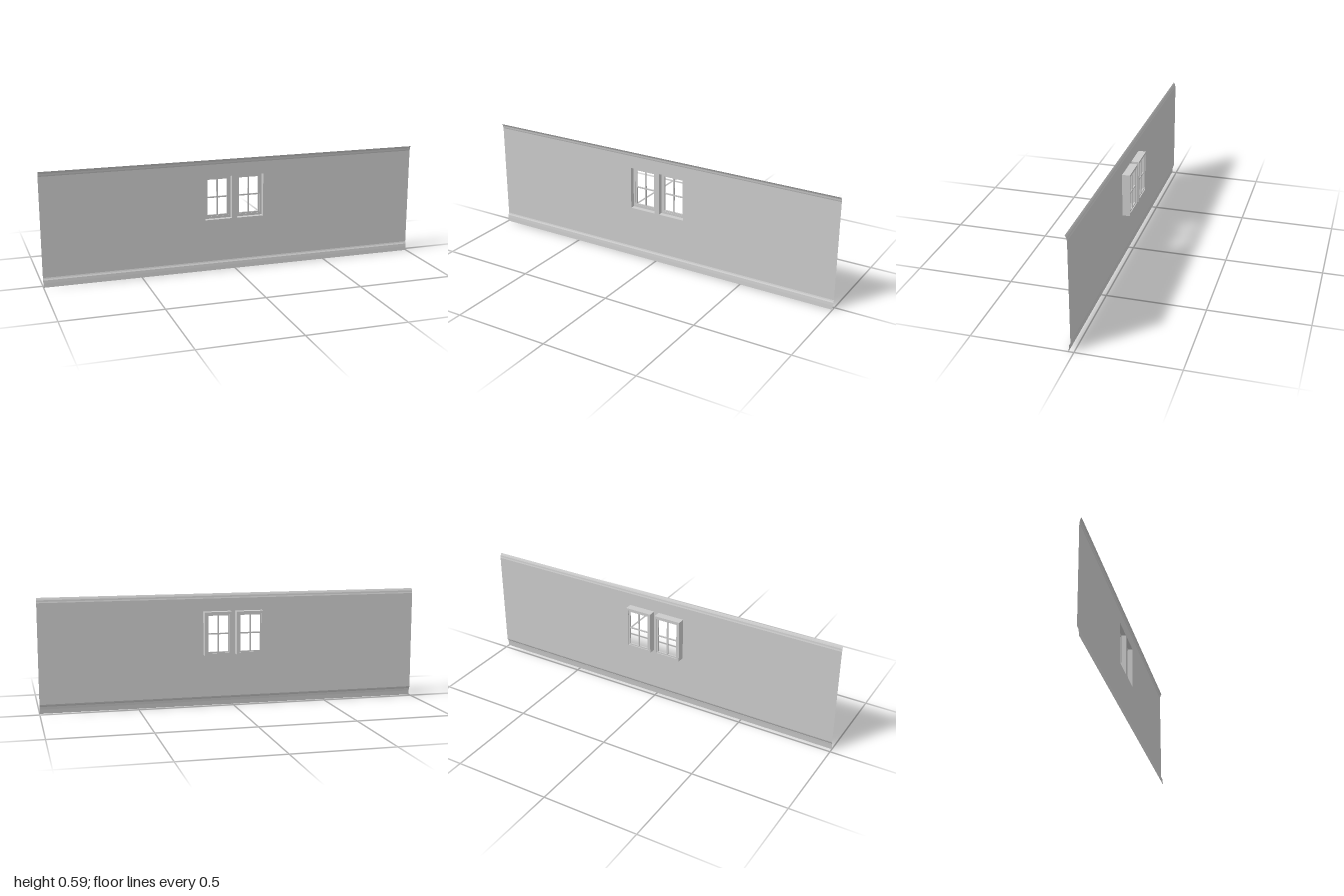
import * as THREE from 'three';

const mat = new THREE.MeshStandardMaterial({ color: 0xcccccc, flatShading: true, side: THREE.DoubleSide });
const WALL_Z = 0.015, BACK_Z = -0.025;
const W = 0.144, H = 0.226, WIN_X = 0.085, WIN_Y = 0.383;

function add(parent, geometry, name, z = 0) {
  const mesh = new THREE.Mesh(geometry, mat);
  mesh.name = name;
  mesh.position.z = z;
  parent.add(mesh);
  return mesh;
}

function rect(target, w, h, cx = 0, cy = 0) {
  const x = w / 2, y = h / 2;
  target.moveTo(cx - x, cy - y);
  target.lineTo(cx + x, cy - y);
  target.lineTo(cx + x, cy + y);
  target.lineTo(cx - x, cy + y);
  target.closePath();
  return target;
}

// Rectangular ring of given border, extruded forward from z = 0
function ring(w, h, border, depth) {
  const shape = rect(new THREE.Shape(), w, h);
  shape.holes.push(rect(new THREE.Path(), w - 2 * border, h - 2 * border));
  return new THREE.ExtrudeGeometry(shape, { depth, bevelEnabled: false });
}

// Open moulding sheet: [y, z] profile, bottom to top, swept along the wall
function moulding(profile) {
  const pos = [], index = [];
  profile.forEach(([y, z], i) => {
    pos.push(-1, y, z, 1, y, z);
    if (i) {
      const a = 2 * i - 2;
      index.push(a, a + 1, a + 3, a, a + 3, a + 2);
    }
  });
  const g = new THREE.BufferGeometry();
  g.setAttribute('position', new THREE.Float32BufferAttribute(pos, 3));
  g.setIndex(index);
  g.computeVertexNormals();
  return g;
}

function makeWindow() {
  const win = new THREE.Group();
  // Thin reveal lining from the wall to the back
  const depth = WALL_Z - BACK_Z, midZ = (WALL_Z + BACK_Z) / 2;
  for (const s of [-1, 1]) {
    const side = add(win, new THREE.PlaneGeometry(depth, H), 'revealSide', midZ);
    side.rotation.y = -s * Math.PI / 2;
    side.position.x = s * W / 2;
    const cap = add(win, new THREE.PlaneGeometry(W, depth), s > 0 ? 'revealHead' : 'revealSill', midZ);
    cap.rotation.x = s * Math.PI / 2;
    cap.position.y = s * H / 2;
  }
  // Frame, recessed sash and glazing bars
  add(win, ring(W, H, 0.012, 0.015), 'windowFrame', BACK_Z);
  add(win, ring(W - 0.024, H - 0.024, 0.007, 0.008), 'sash', -0.02);
  add(win, new THREE.BoxGeometry(0.007, H - 0.038, 0.006), 'verticalBar', -0.016);
  add(win, new THREE.BoxGeometry(W - 0.038, 0.007, 0.006), 'horizontalBar', -0.016);
  return win;
}

export function createModel() {
  const model = new THREE.Group();
  model.name = 'wallWithWindows';

  // Thin wall sheet with two openings
  const y0 = 0.048, y1 = 0.562;
  const shape = rect(new THREE.Shape(), 2, y1 - y0, 0, (y0 + y1) / 2);
  for (const s of [-1, 1]) shape.holes.push(rect(new THREE.Path(), W, H, s * WIN_X, WIN_Y));
  add(model, new THREE.ShapeGeometry(shape), 'wall', WALL_Z);

  // Skirting and cornice flare forward
  add(model, moulding([[0, 0.025], [0.022, 0.023], [0.036, 0.021], [0.042, 0.017], [y0, WALL_Z]]), 'skirting');
  add(model, moulding([[y1, WALL_Z], [0.568, 0.017], [0.576, 0.018], [0.582, 0.021], [0.588, 0.025]]), 'cornice');

  for (const s of [-1, 1]) {
    const win = makeWindow();
    win.name = s > 0 ? 'leftWindow' : 'rightWindow';
    win.position.set(s * WIN_X, WIN_Y, 0);
    model.add(win);
  }
  return model;
}
